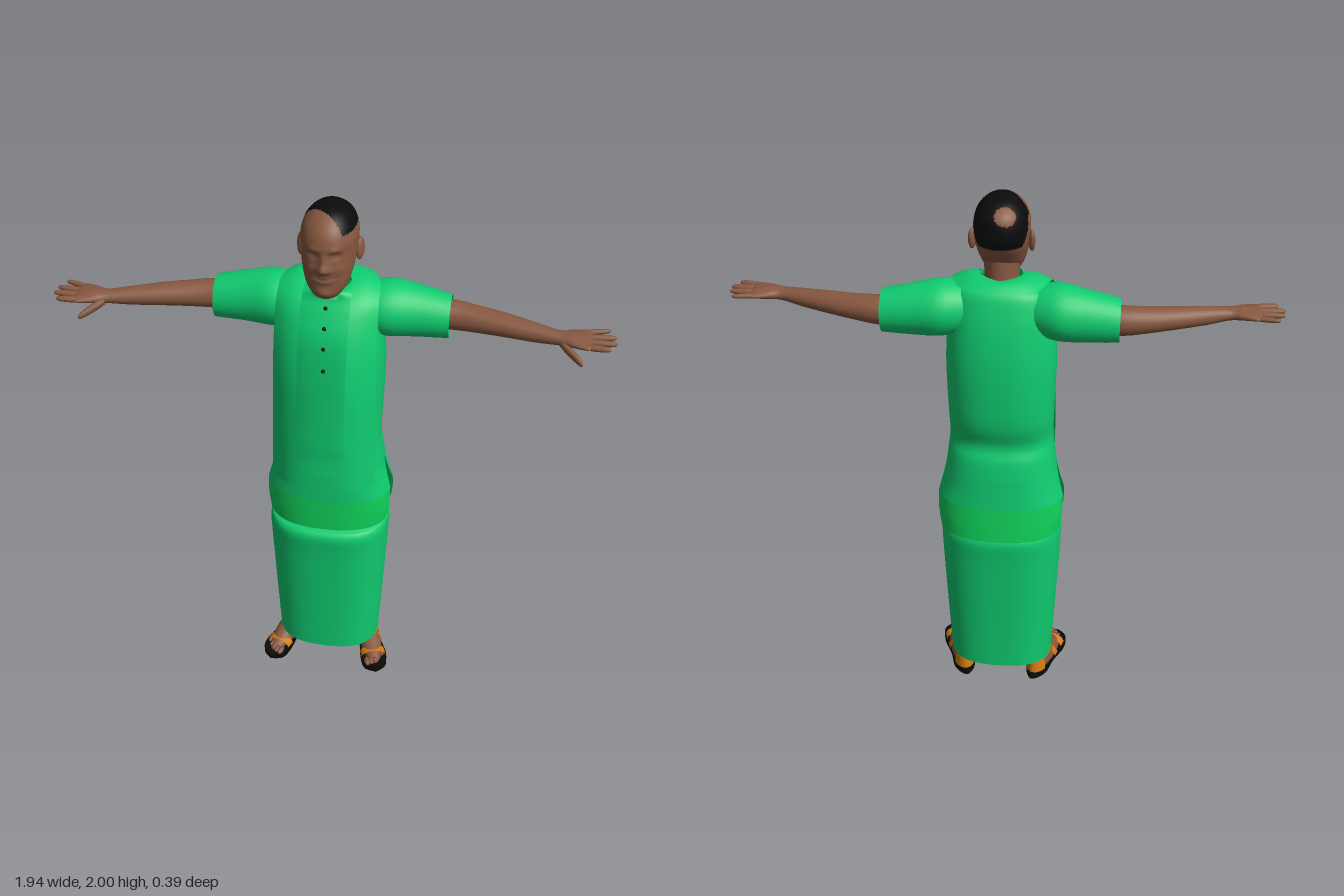
import * as THREE from 'three';
import { mergeVertices } from 'three/addons/utils/BufferGeometryUtils.js';

const mat = (name, color, side = THREE.FrontSide) => {
  const m = new THREE.MeshStandardMaterial({ color, side });
  m.name = name;
  return m;
};

// Grid surface from f(v, u); seams are welded so normals stay smooth
function surface(f, nv, nu, flip = false) {
  const pos = [], idx = [];
  for (let i = 0; i <= nv; i++) for (let j = 0; j <= nu; j++) pos.push(...f(i / nv, j / nu));
  for (let i = 0; i < nv; i++) for (let j = 0; j < nu; j++) {
    const a = i * (nu + 1) + j, b = a + nu + 1;
    if (flip) idx.push(a, a + 1, b, b, a + 1, b + 1);
    else idx.push(a, b, a + 1, b, b + 1, a + 1);
  }
  const g = new THREE.BufferGeometry();
  g.setAttribute('position', new THREE.Float32BufferAttribute(pos, 3));
  g.setIndex(idx);
  const m = mergeVertices(g, 1e-5);
  m.computeVertexNormals();
  return m;
}

// Catmull-Rom sample of section rows [t, a, b, ra, rb]
function sample(rows, v) {
  const n = rows.length - 1, s = Math.min(v * n, n - 1e-6), i = Math.floor(s), t = s - i;
  const r = k => rows[Math.max(0, Math.min(n, k))];
  return rows[0].map((_, k) => {
    const [p, q, c, d] = [r(i - 1)[k], r(i)[k], r(i + 1)[k], r(i + 2)[k]];
    return q + 0.5 * t * (c - p + t * (2 * p - 5 * q + 4 * c - d + t * (3 * (q - c) + d - p)));
  });
}

// Loft of superellipse sections along y or x; arc(v) gives the angle range
function loft(rows, { nu = 40, step = 4, p = 2, axis = 'y', arc = () => [0, Math.PI * 2] } = {}) {
  const pw = c => Math.sign(c) * Math.pow(Math.abs(c) < 1e-9 ? 0 : Math.abs(c), 2 / p);
  return surface((v, u) => {
    const [t, a, b, ra, rb] = sample(rows, v), [s, e] = arc(v), w = s + (e - s) * u;
    const k = a + Math.max(0, ra) * pw(Math.cos(w)), z = b + Math.max(0, rb) * pw(Math.sin(w));
    return axis === 'y' ? [k, t, z] : [t, k, z];
  }, (rows.length - 1) * step, nu, axis === 'x');
}

// Mirror across x = 0, keeping faces outward
function mirrored(geo) {
  const g = geo.clone().scale(-1, 1, 1);
  if (!g.index) g.setIndex([...Array(g.attributes.position.count).keys()]);
  const ix = g.index.array;
  for (let i = 0; i < ix.length; i += 3) [ix[i + 1], ix[i + 2]] = [ix[i + 2], ix[i + 1]];
  g.computeVertexNormals();
  return g;
}

export function createModel() {
  const root = new THREE.Group();
  root.name = 'standingMan';
  const green = mat('clothGreen', 0x10cc70, THREE.DoubleSide);
  const hem = mat('hemGreen', 0x10d25a, THREE.DoubleSide);
  const skin = mat('skinBrown', 0x875840);
  const black = mat('black', 0x0b0b0b);
  const orange = mat('sandalOrange', 0xd47c10, THREE.DoubleSide);
  const add = (name, geo, m) => {
    const mesh = new THREE.Mesh(geo, m);
    mesh.name = name;
    root.add(mesh);
    return mesh;
  };
  const pair = (name, geo, m) => {
    add(name + 'Left', geo, m);
    add(name + 'Right', mirrored(geo), m);
  };

  // Head, with sculpted face and hair as face groups
  const head = loft([
    [1.695, 0, 0.06, 0, 0], [1.703, 0, 0.06, 0.036, 0.045], [1.725, 0, 0.05, 0.06, 0.07],
    [1.755, 0, 0.04, 0.075, 0.085], [1.79, 0, 0.026, 0.085, 0.1], [1.83, 0, 0.01, 0.092, 0.115],
    [1.87, 0, 0, 0.095, 0.127], [1.91, 0, -0.002, 0.095, 0.129], [1.95, 0, -0.006, 0.083, 0.114],
    [1.98, 0, -0.006, 0.057, 0.08], [1.994, 0, -0.006, 0.03, 0.045], [2, 0, -0.006, 0, 0],
  ], { nu: 88, step: 6, p: 2.15 });
  const bump = (x, y, x0, y0, sx, sy) => Math.exp(-(((x - x0) / sx) ** 2) - ((y - y0) / sy) ** 2);
  const hp = head.attributes.position;
  for (let i = 0; i < hp.count; i++) {
    const x = hp.getX(i), y = hp.getY(i), z = hp.getZ(i), ax = Math.abs(x);
    if (z < 0.04) continue;
    hp.setZ(i, z + 0.028 * bump(x, y, 0, 1.826, 0.017, 0.017) + 0.012 * bump(x, y, 0, 1.855, 0.011, 0.025)
      + 0.008 * bump(ax, y, 0.02, 1.82, 0.01, 0.01) - 0.012 * bump(ax, y, 0.037, 1.87, 0.017, 0.011)
      + 0.005 * bump(ax, y, 0.037, 1.869, 0.01, 0.005) + 0.006 * bump(ax, y, 0.037, 1.893, 0.025, 0.009)
      + 0.007 * bump(ax, y, 0.05, 1.82, 0.018, 0.02) + 0.008 * bump(x, y, 0, 1.785, 0.035, 0.013)
      - 0.009 * bump(x, y, 0, 1.785 + ax * 0.15, 0.035, 0.004) + 0.009 * bump(x, y, 0, 1.73, 0.028, 0.018));
  }
  head.computeVertexNormals();
  const isHair = (x, y, z) => {
    const line = z > -0.035 ? 1.935 : Math.max(1.84, 1.935 + (z + 0.035) * 2.6);
    const bald = Math.hypot(x + 0.02, (y - 1.955) * 1.1, z + 0.105) < 0.036;
    return y > line && z < 0.055 + x * 0.7 && !bald;
  };
  const faces = [[], []], ix = head.index.array;
  for (let i = 0; i < ix.length; i += 3) {
    const t = [ix[i], ix[i + 1], ix[i + 2]];
    const c = ['getX', 'getY', 'getZ'].map(k => t.reduce((s, q) => s + hp[k](q), 0) / 3);
    faces[isHair(...c) ? 1 : 0].push(...t);
  }
  head.setIndex(faces.flat());
  head.addGroup(0, faces[0].length, 0);
  head.addGroup(faces[0].length, faces[1].length, 1);
  add('headAndHair', head, [skin, black]);
  pair('ear', new THREE.SphereGeometry(1, 16, 12).scale(0.012, 0.04, 0.022)
    .rotateY(-0.35).rotateX(-0.15).translate(0.1, 1.84, -0.01), skin);
  add('neck', loft([[1.62, 0, -0.01, 0.07, 0.075], [1.7, 0, 0, 0.061, 0.068], [1.79, 0, 0.005, 0.064, 0.068]]), skin);

  // Tunic body, collar and buttons
  add('tunic', loft([
    [0.97, 0, -0.016, 0.203, 0.157], [1.04, 0, -0.012, 0.194, 0.151], [1.1, 0, -0.002, 0.188, 0.143],
    [1.2, 0, -0.016, 0.19, 0.156], [1.4, 0, -0.018, 0.195, 0.158], [1.54, 0, -0.016, 0.187, 0.146],
    [1.63, 0, -0.022, 0.178, 0.119], [1.675, 0, -0.025, 0.155, 0.1], [1.695, 0, -0.015, 0.11, 0.088],
    [1.705, 0, -0.002, 0.073, 0.078],
  ], { nu: 56, p: 2.4 }), green);
  add('collar', loft([[1.685, 0, 0, 0.078, 0.084], [1.715, 0, -0.002, 0.07, 0.075]]), green);
  [[1.655, 0.088], [1.59, 0.115], [1.52, 0.134], [1.435, 0.14]].forEach(([y, z]) =>
    add('button', new THREE.SphereGeometry(0.007, 10, 8).translate(0, y, z), black));

  // Lower tunic panels with side slits and a hem band
  const skirt = [[0.715, 0, -0.027, 0.229, 0.166], [0.78, 0, -0.024, 0.236, 0.164], [0.85, 0, -0.021, 0.234, 0.161],
    [0.91, 0, -0.018, 0.216, 0.159], [0.97, 0, -0.016, 0.203, 0.157]];
  [['Front', 0], ['Back', Math.PI]].forEach(([side, base]) => {
    const panel = (rows, g0, g1) => loft(rows, {
      nu: 32, p: 2.4, arc: v => { const g = g0 + (g1 - g0) * v; return [base + g, base + Math.PI - g]; },
    });
    add('hemBand' + side, panel(skirt.slice(0, 3), 0.32, 0.15), hem);
    add('tunicPanel' + side, panel(skirt.slice(2), 0.15, 0), green);
  });

  // Wrapped ankle-length skirt
  add('wrapSkirt', loft([
    [0.09, 0, -0.008, 0.198, 0.149], [0.25, 0, -0.009, 0.207, 0.154], [0.45, 0, -0.01, 0.217, 0.163],
    [0.6, 0, -0.01, 0.224, 0.17], [0.675, 0, -0.01, 0.226, 0.176], [0.705, 0, -0.014, 0.223, 0.168],
    [0.725, 0, -0.022, 0.215, 0.15], [0.85, 0, -0.02, 0.202, 0.145], [0.98, 0, -0.015, 0.18, 0.135],
  ], { nu: 56, p: 2.5 }), green);

  // Stole: ruled strip over the shoulders and behind the neck
  const edge = half => new THREE.CatmullRomCurve3(
    [...half, ...half.slice(0, -1).reverse().map(([x, y, z]) => [-x, y, z])].map(q => new THREE.Vector3(...q)));
  const inner = edge([[0.083, 0.96, 0.2], [0.083, 1.2, 0.196], [0.083, 1.42, 0.182], [0.084, 1.58, 0.142],
    [0.083, 1.67, 0.09], [0.08, 1.715, 0.02], [0.065, 1.725, -0.05], [0, 1.72, -0.085]]);
  const outer = edge([[0.188, 0.96, 0.13], [0.184, 1.2, 0.125], [0.18, 1.42, 0.115], [0.177, 1.58, 0.085],
    [0.174, 1.67, 0.045], [0.168, 1.703, -0.03], [0.125, 1.7, -0.115], [0, 1.695, -0.152]]);
  add('stole', surface((v, u) => {
    const a = inner.getPoint(v), b = outer.getPoint(v), q = a.clone().lerp(b, u);
    const arch = 0.012 * Math.sin(Math.PI * u);
    return [q.x, q.y + arch * Math.sin(Math.PI * v) ** 4, q.z + arch * Math.cos(Math.PI * v) ** 2];
  }, 96, 8), green);

  // Sleeves, arms and hands
  const along = { axis: 'x', nu: 28 };
  pair('sleeve', loft([[0.12, 1.6, -0.04, 0.085, 0.085], [0.2, 1.6, -0.05, 0.1, 0.104],
    [0.3, 1.591, -0.056, 0.091, 0.087], [0.41, 1.58, -0.055, 0.077, 0.073]], along), green);
  pair('arm', loft([
    [0.3, 1.585, -0.06, 0.053, 0.053], [0.42, 1.583, -0.062, 0.052, 0.052], [0.51, 1.583, -0.046, 0.045, 0.05],
    [0.6, 1.584, -0.024, 0.039, 0.046], [0.7, 1.584, 0.004, 0.032, 0.037], [0.78, 1.586, 0.026, 0.023, 0.031],
    [0.82, 1.589, 0.03, 0.021, 0.045], [0.86, 1.59, 0.031, 0.017, 0.058], [0.885, 1.59, 0.032, 0.012, 0.057],
    [0.893, 1.59, 0.032, 0, 0]], along), skin);
  const finger = (x0, y0, z0, x1, y1, z1, r) => {
    const rows = [[0, 0.8], [0.25, 1], [0.6, 0.95], [0.85, 0.8], [0.96, 0.5], [1, 0]].map(([t, k]) =>
      [x0 + (x1 - x0) * t, y0 + (y1 - y0) * t, z0 + (z1 - z0) * t, r * k, r * k * 1.1]);
    return loft(rows, { axis: 'x', nu: 12, step: 2 });
  };
  [[-0.014, -0.033, 0.95, 0.0095], [0.015, 0.01, 0.968, 0.011], [0.045, 0.047, 0.972, 0.0115], [0.074, 0.085, 0.95, 0.011]]
    .forEach(([z0, z1, x, r]) => pair('finger', finger(0.865, 1.59, z0, x, 1.593, z1, r), skin));
  pair('thumb', finger(0.785, 1.58, 0.045, 0.865, 1.546, 0.118, 0.017), skin);

  // Feet and sandals, turned slightly outward
  const place = g => g.rotateY(0.3).translate(0.173, 0, 0.022);
  const outline = new THREE.Shape();
  outline.moveTo(0, 0.152);
  outline.splineThru([[0.042, 0.125], [0.053, 0.07], [0.042, -0.01], [0.039, -0.1], [0, -0.15],
    [-0.039, -0.1], [-0.042, -0.01], [-0.05, 0.07], [-0.042, 0.125], [0, 0.152]].map(q => new THREE.Vector2(...q)));
  pair('sole', place(new THREE.ExtrudeGeometry(outline, { depth: 0.026, bevelEnabled: false, curveSegments: 40 })
    .rotateX(Math.PI / 2).translate(0, 0.026, 0)), black);
  pair('foot', place(loft([[0.024, 0, 0, 0.042, 0.128], [0.04, 0, -0.005, 0.042, 0.122], [0.055, 0, -0.02, 0.038, 0.1],
    [0.075, 0, -0.05, 0.033, 0.072], [0.105, 0, -0.075, 0.031, 0.046], [0.3, 0, -0.05, 0.042, 0.048]])), skin);
  for (let i = 0; i < 5; i++) {
    const r = 0.013 - i * 0.0014;
    pair('toe', place(new THREE.SphereGeometry(r, 12, 8).scale(0.9, 0.9, 1.7)
      .translate(-0.032 + i * 0.0165, 0.036, 0.122 - i * i * 0.0022)), skin);
  }
  const strap = (z, w, rx, h, lean) => place(surface((v, u) =>
    [rx * Math.cos(Math.PI * u), 0.02 + h * Math.sin(Math.PI * u), z + (v - 0.5) * w - lean * Math.sin(Math.PI * u)], 2, 20));
  pair('toeStrap', strap(0.07, 0.035, 0.05, 0.035, 0), orange);
  pair('instepStrap', strap(0.01, 0.03, 0.047, 0.062, 0.03), orange);
  pair('ankleStrap', place(loft([[0.075, 0, -0.06, 0.04, 0.078], [0.11, 0, -0.073, 0.036, 0.055]])), orange);
  pair('heelStrap', place(loft([[0.024, 0, -0.06, 0.045, 0.08], [0.08, 0, -0.06, 0.039, 0.074]],
    { nu: 20, arc: () => [Math.PI * 1.15, Math.PI * 1.85] })), orange);
  return root;
}
